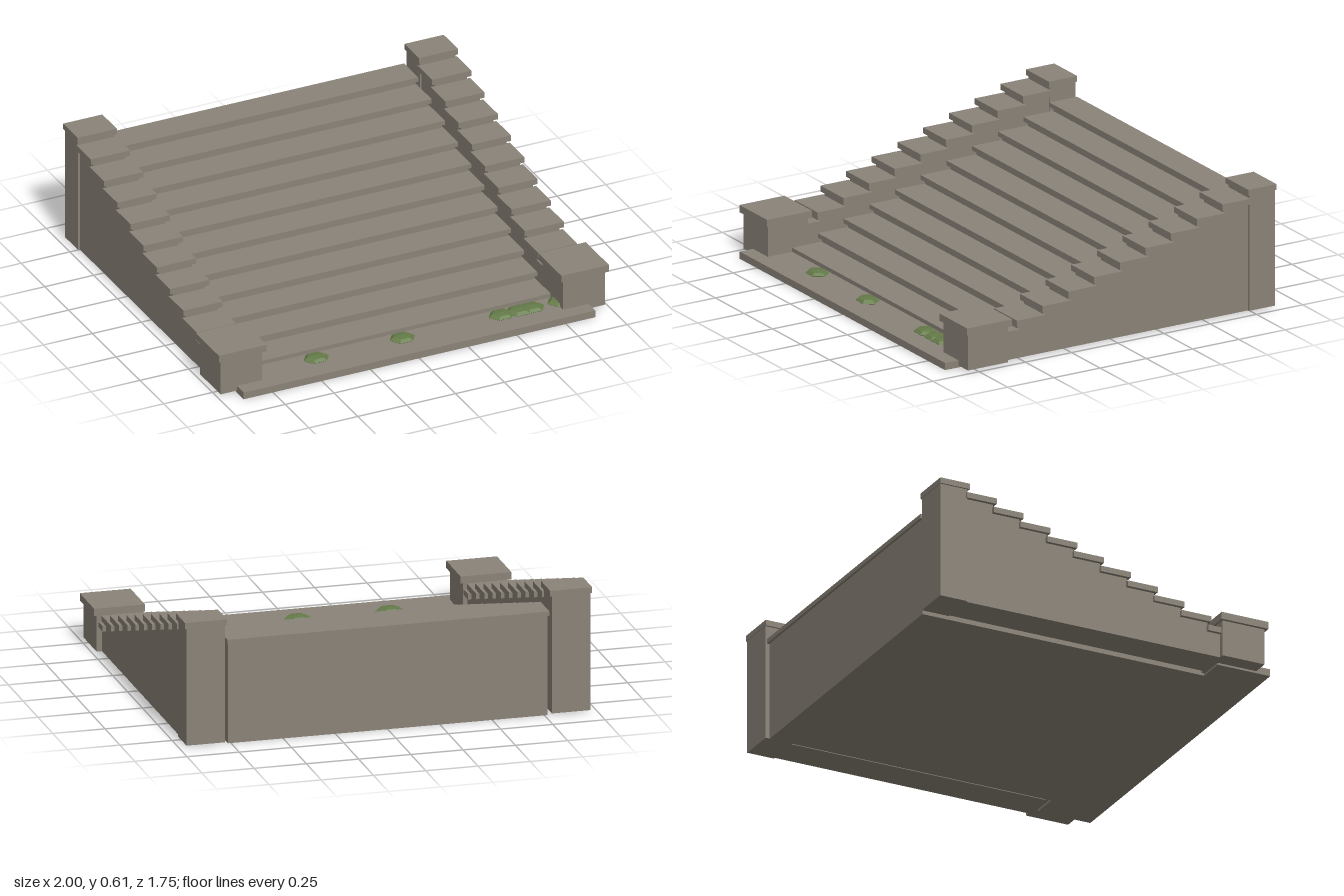
import * as THREE from 'three';

const STEPS = 11, RISE = 0.045, RUN = 0.139, FRONT = -0.722, BACK = -0.872;

export function createModel() {
  const group = new THREE.Group();
  const stone = new THREE.MeshStandardMaterial({ color: 0x8a8378 });
  stone.name = 'stone';
  const moss = new THREE.MeshStandardMaterial({ color: 0x647a48 });
  moss.name = 'moss';

  const add = (name, geometry, material = stone) => {
    const mesh = new THREE.Mesh(geometry, material);
    mesh.name = name;
    group.add(mesh);
    return mesh;
  };

  // Box given by its limits on each axis
  const box = (name, x0, x1, y0, y1, z0, z1) =>
    add(name, new THREE.BoxGeometry(x1 - x0, y1 - y0, z1 - z0)
      .translate((x0 + x1) / 2, (y0 + y1) / 2, (z0 + z1) / 2));

  // Solid with a stepped side profile, running across x0..x1
  const steppedBody = (name, x0, x1, bottom, top, inset, back, count) => {
    const shape = new THREE.Shape();
    shape.moveTo(back, bottom);
    shape.lineTo(FRONT + (count - 1) * RUN - inset, bottom);
    for (let k = count - 1; k >= 0; k--) {
      const z = FRONT + k * RUN - inset, y = top - k * RISE;
      shape.lineTo(z, y);
      shape.lineTo(k > 0 ? z - RUN : back, y);
    }
    const geometry = new THREE.ExtrudeGeometry(shape, { depth: x1 - x0, bevelEnabled: false });
    geometry.rotateY(-Math.PI / 2).translate(x1, 0, 0);
    return add(name, geometry);
  };

  // Ground slab and flight of stairs
  box('groundSlab', -0.9, 0.9, 0, 0.035, 0.6, 0.872);
  steppedBody('stairBody', -0.765, 0.765, 0, 0.483, 0.02, -0.86, STEPS);
  for (let k = 0; k < STEPS; k++) {
    const z = FRONT + k * RUN, y = 0.505 - k * RISE;
    box('tread', -0.77, 0.77, y - 0.022, y, k ? z - RUN - 0.025 : BACK, z);
  }

  // Side walls with stepped coping, rear posts and front newels
  for (const side of [-1, 1]) {
    const pair = (name, a, b, ...rest) =>
      box(name, Math.min(a * side, b * side), Math.max(a * side, b * side), ...rest);
    const [w0, w1] = side > 0 ? [0.79, 0.957] : [-0.957, -0.79];
    steppedBody('sideWall', w0, w1, 0.01, 0.578, 0.012, -0.85, STEPS);
    for (let k = 0; k < STEPS; k++) {
      const z = FRONT + k * RUN, y = 0.605 - k * RISE;
      pair('copingStone', 0.773, 0.974, y - 0.028, y, k ? z - 0.155 : BACK - 0.003, z);
    }
    pair('rearPost', 0.782, 0.966, 0.01, 0.578, BACK, -0.732);
    pair('newel', 0.77, 0.983, 0.01, 0.187, 0.582, 0.8);
    pair('newelCap', 0.755, 0.998, 0.187, 0.222, 0.57, 0.813);
  }

  // Moss clumps along the foot of the stairs
  for (const x of [-0.457, -0.017, 0.49, 0.58, 0.645, 0.79]) {
    const clump = new THREE.SphereGeometry(1, 6, 4).scale(0.065, 0.018, 0.053).toNonIndexed();
    clump.computeVertexNormals();
    add('mossClump', clump, moss).position.set(x, 0.038, 0.725);
  }

  return group;
}
